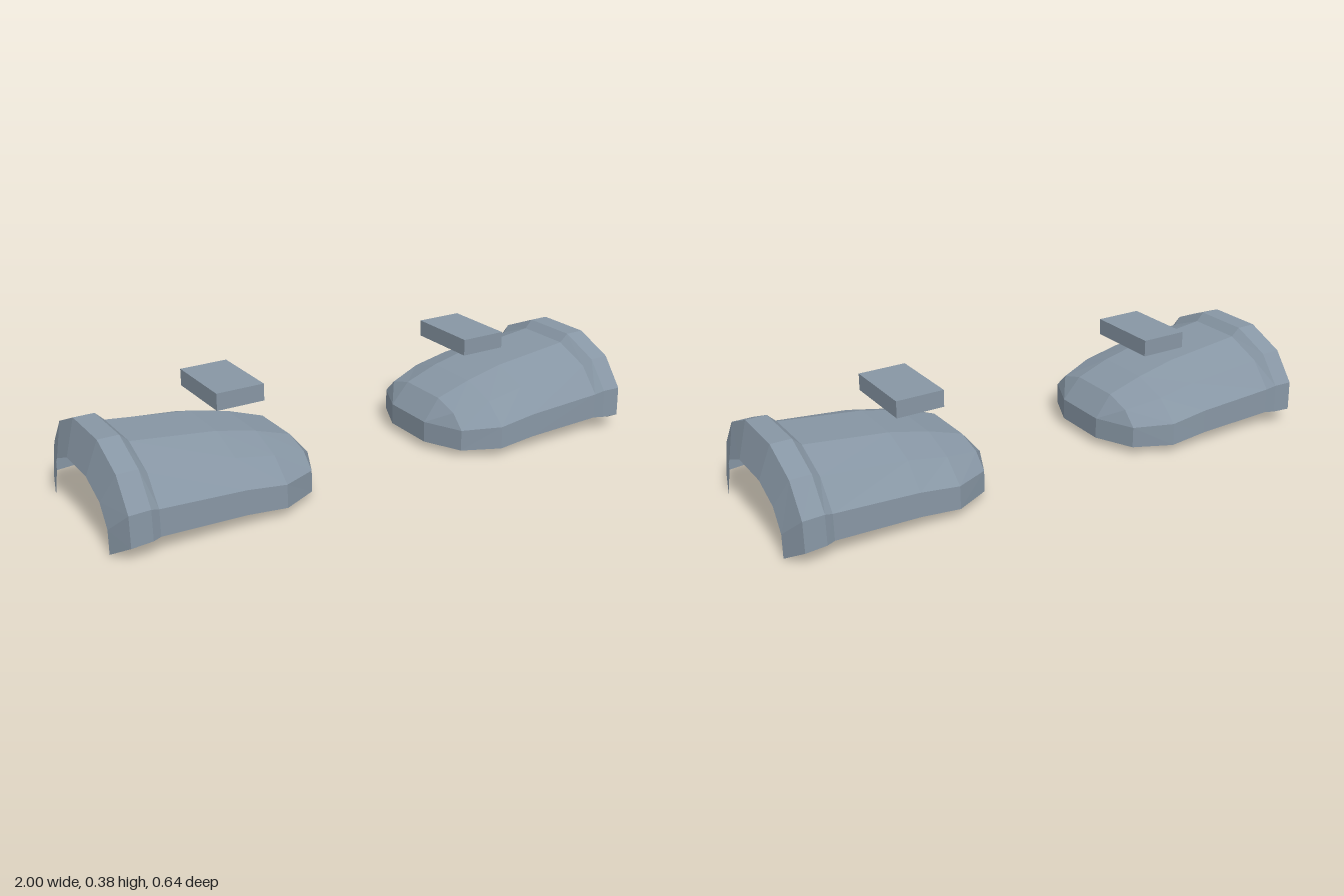
import * as THREE from 'three';

// Half cross-sections from the open cuff to the toe:
// x, then (z, y) of hem, side ridge, shoulder and crown
const RINGS = [
  [1.0, 0.235, 0.002, 0.235, 0.085, 0.185, 0.155, 0.083, 0.197],
  [0.963, 0.32, 0.05, 0.317, 0.155, 0.24, 0.257, 0.102, 0.317],
  [0.892, 0.32, 0.055, 0.317, 0.157, 0.24, 0.257, 0.102, 0.317],
  [0.862, 0.306, 0.055, 0.304, 0.145, 0.228, 0.235, 0.1, 0.288],
  [0.57, 0.304, 0.046, 0.302, 0.13, 0.226, 0.209, 0.1, 0.255],
  [0.43, 0.303, 0.032, 0.301, 0.112, 0.222, 0.182, 0.1, 0.223],
  [0.303, 0.235, 0.028, 0.235, 0.103, 0.185, 0.153, 0.095, 0.18],
  [0.24, 0.1, 0.028, 0.1, 0.103, 0.1, 0.103, 0.1, 0.103],
];

// Full arch of eight points, from +z over the crown to -z
function arch([x, ...zy], side) {
  const half = [0, 2, 4, 6].map(i => new THREE.Vector3(x * side, zy[i + 1], zy[i]));
  const mirrored = half.map(p => new THREE.Vector3(p.x, p.y, -p.z)).reverse();
  return [...half, ...mirrored];
}

// Skin between successive arches, optionally closed by a flat toe face
function shell(rings, side, closed) {
  const pos = [];
  const tri = (a, b, c) => {
    if (a.distanceTo(b) < 1e-5 || b.distanceTo(c) < 1e-5 || a.distanceTo(c) < 1e-5) return;
    for (const p of side > 0 ? [a, b, c] : [a, c, b]) pos.push(p.x, p.y, p.z);
  };
  const arches = rings.map(r => arch(r, side));
  for (let i = 0; i < arches.length - 1; i++) {
    const p = arches[i], q = arches[i + 1];
    for (let j = 0; j < 7; j++) {
      tri(p[j], p[j + 1], q[j]);
      tri(p[j + 1], q[j + 1], q[j]);
    }
  }
  if (closed) {
    const e = arches[arches.length - 1];
    tri(e[0], e[1], e[6]);
    tri(e[0], e[6], e[7]);
  }
  const geo = new THREE.BufferGeometry();
  geo.setAttribute('position', new THREE.Float32BufferAttribute(pos, 3));
  geo.computeVertexNormals();
  return geo;
}

export function createModel() {
  const model = new THREE.Group();
  model.name = 'pairOfShellGuards';
  const steel = new THREE.MeshStandardMaterial({ color: 0x8796a4, side: THREE.DoubleSide, flatShading: true });
  steel.name = 'blueGrey';

  for (const side of [1, -1]) {
    const guard = new THREE.Group();
    guard.name = side > 0 ? 'leftGuard' : 'rightGuard';
    const add = (name, geo) => {
      const mesh = new THREE.Mesh(geo, steel);
      mesh.name = name;
      guard.add(mesh);
      return mesh;
    };
    // Raised cuff around the open end, then the tapering body and toe
    add('cuff', shell(RINGS.slice(0, 4), side, false));
    add('body', shell(RINGS.slice(3), side, true));
    // Small plate floating above the body
    add('topPlate', new THREE.BoxGeometry(0.168, 0.058, 0.267))
      .position.set(side * 0.485, 0.354, -0.025);
    model.add(guard);
  }
  return model;
}
